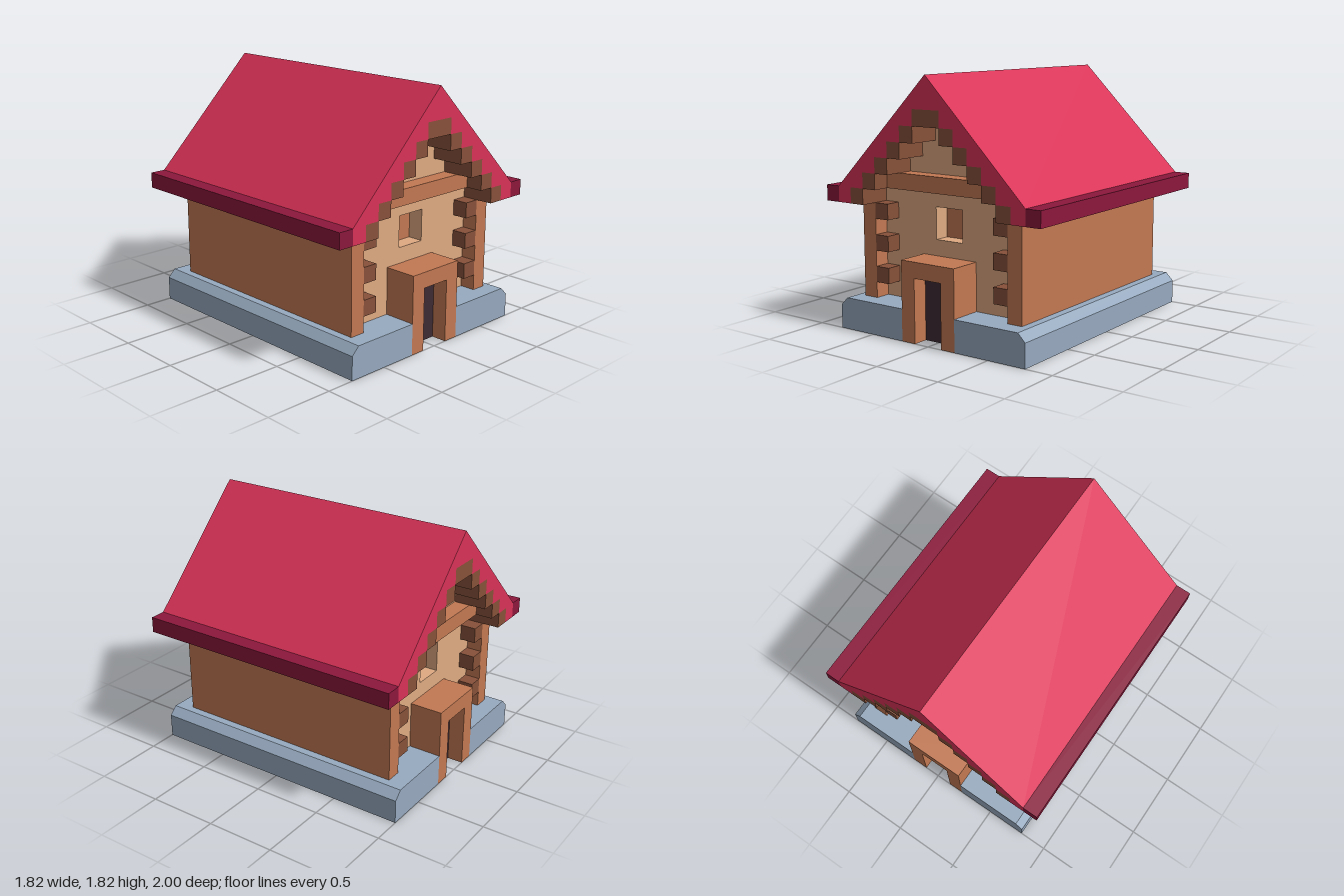
import * as THREE from 'three';

const U = 1 / 8.8; // building module
const Z_WALL = 0.76, Z_POST = 0.875, Z_END = 1, Z_DOOR = 0.886;

const mat = (color) => new THREE.MeshStandardMaterial({ color, flatShading: true });

export function createModel() {
  const model = new THREE.Group();
  const roofRed = mat(0xd93257), eaveRed = mat(0x8c183c), timber = mat(0xc27852);
  const brick = mat(0x87513a), plaster = mat(0xdfaa82), stone = mat(0x97aabf), dark = mat(0x3d2b33);

  function add(name, geometry, material) {
    const mesh = new THREE.Mesh(geometry, material);
    mesh.name = name;
    model.add(mesh);
    return mesh;
  }
  // Box from module-unit x and y limits and z limits in world units
  function box(name, material, x0, x1, y0, y1, z0, z1) {
    const g = new THREE.BoxGeometry((x1 - x0) * U, (y1 - y0) * U, z1 - z0);
    g.translate((x0 + x1) / 2 * U, (y0 + y1) / 2 * U, (z0 + z1) / 2);
    return add(name, g, material);
  }
  const points = (list) => list.map(([x, y]) => new THREE.Vector2(x * U, y * U));
  // Profile in module units, extruded between two z limits
  function prism(name, material, outline, z0, z1, hole) {
    const shape = new THREE.Shape(points(outline));
    if (hole) shape.holes.push(new THREE.Path(points(hole)));
    const g = new THREE.ExtrudeGeometry(shape, { depth: z1 - z0, bevelEnabled: false });
    g.translate(0, 0, z0);
    return add(name, g, material);
  }

  // Roof with a stepped underside
  const roofHalf = [[7, 9], [7, 8]];
  for (let k = 0; k < 6; k++) roofHalf.push([6 - k, 8 + k], [6 - k, 9 + k]);
  const mirrored = roofHalf.map(([x, y]) => [-x, y]).reverse();
  prism('roof', roofRed, [[0, 16], ...roofHalf, ...mirrored], -Z_END, Z_END);

  // Stepped bricks lining the gable
  box('gableBrickTop', brick, -1, 1, 13, 14, -Z_END, Z_END);

  for (const s of [1, -1]) {
    const side = s > 0 ? 'left' : 'right';
    const sideBox = (name, m, a, b, ...rest) =>
      box(side + name, m, Math.min(s * a, s * b), Math.max(s * a, s * b), ...rest);

    for (let k = 0; k < 5; k++) {
      sideBox('GableBrick', brick, 5 - k, 6 - k, 8 + k, 9 + k, -Z_END, Z_END);
    }
    sideBox('Eave', eaveRed, 7, 8, 8, 9, -Z_END, Z_END);
    sideBox('SideWall', timber, 5, 6, 2, 8, -Z_POST, Z_POST);

    // Foundation half with a chamfered outer edge
    prism(side + 'Foundation', stone,
      [[2, 0], [7, 0], [7, 1.5], [6.5, 2], [2, 2]].map(([x, y]) => [s * x, y]), -Z_END, Z_END);

    // Door frame legs run through the foundation slot
    sideBox('DoorFloorRail', timber, 1, 2, 0, 2, -Z_END, Z_END);
  }

  // Hidden core, which also closes the window recesses, and the door infill
  box('core', timber, -5, 5, 2, 9, -(Z_WALL - U), Z_WALL - U);
  box('doorwayInfill', dark, -1, 1, 0, 4, -Z_DOOR, Z_DOOR);
  // Foundation deck between the halves, inside the house
  box('floor', stone, -5, 5, 1.7, 2, -0.7, 0.7);

  // The two ends are alike
  for (const s of [1, -1]) {
    const end = s > 0 ? 'front' : 'back';
    const span = (a, b) => (s > 0 ? [a, b] : [-b, -a]);

    // Plastered gable wall with a window opening
    prism(end + 'Wall', plaster,
      [[-5, 2], [5, 2], [5, 9.2], [0, 14.2], [-5, 9.2]], ...span(Z_WALL - U, Z_WALL),
      [[-1, 6], [-1, 8], [1, 8], [1, 6]]);
    box(end + 'Beam', timber, -4, 4, 9, 10, ...span(Z_WALL - 0.02, Z_POST));

    // Door frame
    box(end + 'DoorLintel', timber, -2, 2, 4, 5, ...span(Z_WALL - 0.02, Z_END));
    for (const x of [-2, 1]) box(end + 'DoorPost', timber, x, x + 1, 2, 4, ...span(Z_WALL - 0.02, Z_END));

    // Corner bricks
    for (const x of [-5, 4]) {
      for (const y of [3, 5, 7]) box(end + 'CornerBrick', brick, x, x + 1, y, y + 1, ...span(Z_WALL - 0.02, Z_POST));
    }
  }
  return model;
}
